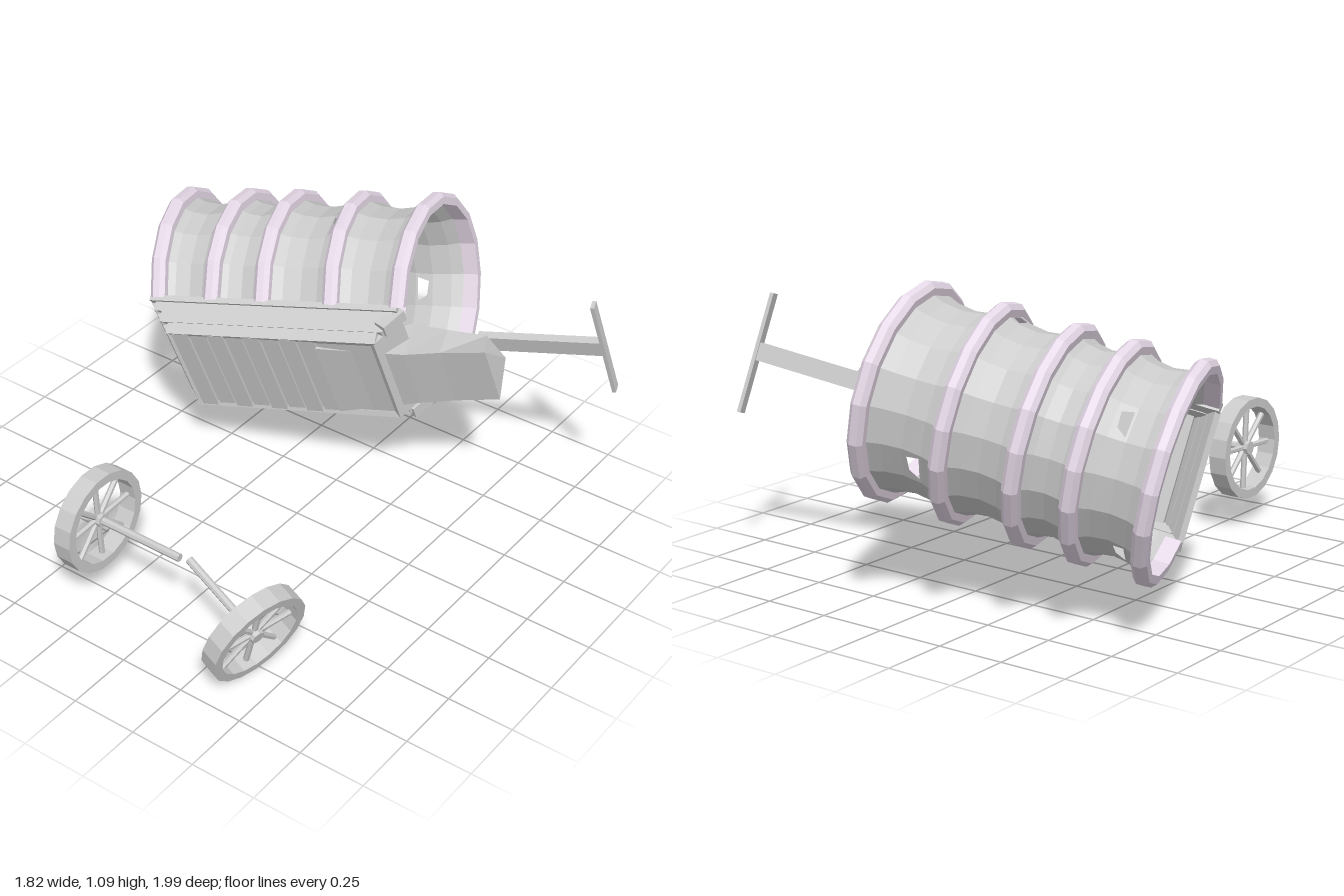
import * as THREE from 'three';

const grey = new THREE.MeshStandardMaterial({ color: 0xcccccc, flatShading: true });
const sheet = new THREE.MeshStandardMaterial({ color: 0xcccccc, flatShading: true, side: THREE.DoubleSide });
const hoopMat = new THREE.MeshStandardMaterial({ color: 0xe6d9e8, flatShading: true, side: THREE.DoubleSide });

function add(parent, name, geometry, x = 0, y = 0, z = 0, material = grey) {
  const mesh = new THREE.Mesh(geometry, material);
  mesh.name = name;
  mesh.position.set(x, y, z);
  parent.add(mesh);
  return mesh;
}

// Grid surface from point(i, j); a torn cell becomes a frame around an opening
function gridSurface(ni, nj, point, torn = () => false) {
  const pos = [];
  const quad = (a, b, c, d) => [a, b, c, a, c, d].forEach(p => pos.push(p.x, p.y, p.z));
  for (let i = 0; i < ni; i++) for (let j = 0; j < nj; j++) {
    const c = [point(i, j), point(i + 1, j), point(i + 1, j + 1), point(i, j + 1)];
    if (!torn(i, j)) { quad(...c); continue; }
    const mid = c.reduce((s, p) => s.add(p), new THREE.Vector3()).multiplyScalar(0.25);
    const hole = c.map((p, k) => p.clone().lerp(mid, 0.25 + 0.2 * (k % 3)));
    for (let k = 0; k < 4; k++) quad(c[k], c[(k + 1) % 4], hole[(k + 1) % 4], hole[k]);
  }
  const g = new THREE.BufferGeometry();
  g.setAttribute('position', new THREE.Float32BufferAttribute(pos, 3));
  g.computeVertexNormals();
  return g;
}

// Canopy arch: oval cut off at the top of the bed; hoops fan out slightly
const FEET = [-0.495, -0.28, -0.075, 0.195, 0.45];
const TOPS = [-0.545, -0.285, -0.085, 0.175, 0.475];
const ARC = 13, A0 = -0.839;
function archPoint(foot, top, k, inset, dl = 0) {
  const a = A0 + (Math.PI - 2 * A0) * k / ARC;
  const y = 0.7 + (0.393 - inset) * Math.sin(a);
  return new THREE.Vector3(foot + (top - foot) * (y - 0.41) / 0.68 + dl, y, 0.01 + (0.39 - inset) * Math.cos(a));
}

function buildCanopy(wagon) {
  const section = [[-0.029, 0.044], [-0.029, 0.016], [-0.013, 0], [0.013, 0], [0.029, 0.016], [0.029, 0.044]];
  FEET.forEach((foot, n) => add(wagon, 'canopyHoop' + (n + 1), gridSurface(ARC, 6, (k, s) => {
    const [dl, inset] = section[s % 6];
    return archPoint(foot, TOPS[n], k, inset, dl);
  }), 0, 0, 0, hoopMat));

  // Cloth sags between neighbouring hoops and has a few tears
  const tears = new Set(['11,2', '2,5', '13,8', '1,9']);
  const cloth = gridSurface(16, ARC, (i, k) => {
    const bay = Math.min(3, Math.floor(i / 4)), t = i / 4 - bay;
    const mix = arr => arr[bay] + (arr[bay + 1] - arr[bay]) * t;
    return archPoint(mix(FEET), mix(TOPS), k, 0.03 + 0.14 * t * (1 - t));
  }, (i, k) => tears.has(i + ',' + k));
  add(wagon, 'canopyCloth', cloth, 0, 0, 0, sheet);
}

function buildBed(wagon) {
  // Floor with cross planks
  add(wagon, 'floor', new THREE.BoxGeometry(0.8, 0.025, 0.39), -0.02, 0.32, 0);
  for (let i = 0; i < 8; i++) {
    add(wagon, 'floorPlank', new THREE.BoxGeometry(0.064, 0.02, 0.39), -0.383 + i * 0.072, 0.306 + 0.004 * (i % 2), 0);
  }
  // Flared walls of three lapped boards
  for (let i = 0; i < 3; i++) {
    const t = (i + 0.5) / 3, y = 0.3 + 0.12 * t;
    const back = -0.42 - 0.1 * t, front = 0.38 + 0.07 * t, half = 0.19 + 0.05 * t;
    for (const s of [-1, 1]) {
      const side = add(wagon, 'sideBoard', new THREE.BoxGeometry(front - back, 0.046, 0.022 + 0.006 * (i % 2)), (front + back) / 2, y, s * half);
      side.rotation.x = s * 0.39;
    }
    for (const [x, tilt] of [[back, 0.69], [front, -0.53]]) {
      const end = add(wagon, 'endBoard', new THREE.BoxGeometry(0.022, 0.05, 2 * half), x, y, 0);
      end.rotation.z = tilt;
    }
  }
  // Top rails and corner blocks
  for (const s of [-1, 1]) {
    const rail = add(wagon, 'topRail', new THREE.BoxGeometry(0.98, 0.022, 0.035), -0.035, 0.42, s * 0.245);
    rail.rotation.x = s * 0.39;
    add(wagon, 'cornerBlock', new THREE.BoxGeometry(0.05, 0.1, 0.045), 0.43, 0.39, s * 0.22).rotation.z = -0.53;
  }
}

function buildDrawGear(wagon) {
  // Tapering neck; each section: bottom [x, y, half width], top [x, y, half width]
  const sections = [
    [0.15, 0.295, 0.172, 0.15, 0.33, 0.172],
    [0.47, 0.325, 0.13, 0.45, 0.5, 0.1],
    [0.6, 0.345, 0.128, 0.588, 0.48, 0.1],
    [0.765, 0.36, 0.125, 0.71, 0.515, 0.04],
  ];
  const neck = gridSurface(5, 4, (i, j) => {
    const [bx, by, bw, tx, ty, tw] = sections[Math.min(i, 3)];
    if (i === 5) return new THREE.Vector3(0.79, 0.45, -0.015);
    const corner = j % 4, s = corner === 0 || corner === 3 ? -1 : 1;
    return corner < 2 ? new THREE.Vector3(bx, by, s * bw - 0.015) : new THREE.Vector3(tx, ty, s * tw - 0.015);
  });
  add(wagon, 'neck', neck, 0, 0, 0, sheet);
  add(wagon, 'tongue', new THREE.BoxGeometry(0.46, 0.032, 0.065), 0.9, 0.528, -0.018);
  add(wagon, 'crossbar', new THREE.BoxGeometry(0.014, 0.036, 0.44), 1.132, 0.53, -0.025);
}

// Spoked wheel whose axle runs along its own x axis
function buildWheel(name, axleStart, axleEnd) {
  const wheel = new THREE.Group();
  wheel.name = name;
  const profile = [[0.16, -0.035], [0.194, -0.035], [0.194, 0.035], [0.16, 0.035], [0.16, -0.035]];
  const rim = add(wheel, 'rim', new THREE.LatheGeometry(profile.map(q => new THREE.Vector2(...q)), 18), 0, 0, 0, sheet);
  rim.rotation.z = Math.PI / 2;
  add(wheel, 'hub', new THREE.CylinderGeometry(0.026, 0.026, 0.05, 8)).rotation.z = Math.PI / 2;
  for (let i = 0; i < 8; i++) {
    const a = i * Math.PI / 4 + 0.05;
    const spoke = add(wheel, 'spoke', new THREE.CylinderGeometry(0.011, 0.011, 0.15, 6), 0, 0.09 * Math.cos(a), 0.09 * Math.sin(a));
    spoke.rotation.x = a;
  }
  const axle = add(wheel, 'axle', new THREE.CylinderGeometry(0.015, 0.015, axleEnd - axleStart, 8), (axleStart + axleEnd) / 2, 0, 0);
  axle.rotation.z = Math.PI / 2;
  return wheel;
}

export function createModel() {
  const model = new THREE.Group();
  model.name = 'brokenWagon';

  // Overturned wagon body: local x is its length, y its height, z its width
  const wagon = new THREE.Group();
  wagon.name = 'wagonBody';
  const along = new THREE.Vector3(0.95, 0.19, -0.247).normalize();
  const up = new THREE.Vector3(-0.115, 0.94, 0.321).cross(along).normalize();
  const across = along.clone().cross(up);
  wagon.quaternion.setFromRotationMatrix(new THREE.Matrix4().makeBasis(along, up, across));
  wagon.position.copy(across).multiplyScalar(0.44);
  buildBed(wagon);
  buildDrawGear(wagon);
  buildCanopy(wagon);
  model.add(wagon);

  // Snapped axle with its two wheels
  const uprightWheel = buildWheel('uprightWheel', -0.02, 0.365);
  uprightWheel.position.set(-0.318, 0.301, 0.737);
  const leaningWheel = buildWheel('leaningWheel', -0.355, 0.02);
  leaningWheel.position.set(0.408, 0.195, 0.797);
  leaningWheel.quaternion.setFromUnitVectors(new THREE.Vector3(1, 0, 0), new THREE.Vector3(0.933, -0.29, 0.21).normalize());
  model.add(uprightWheel, leaningWheel);
  return model;
}
